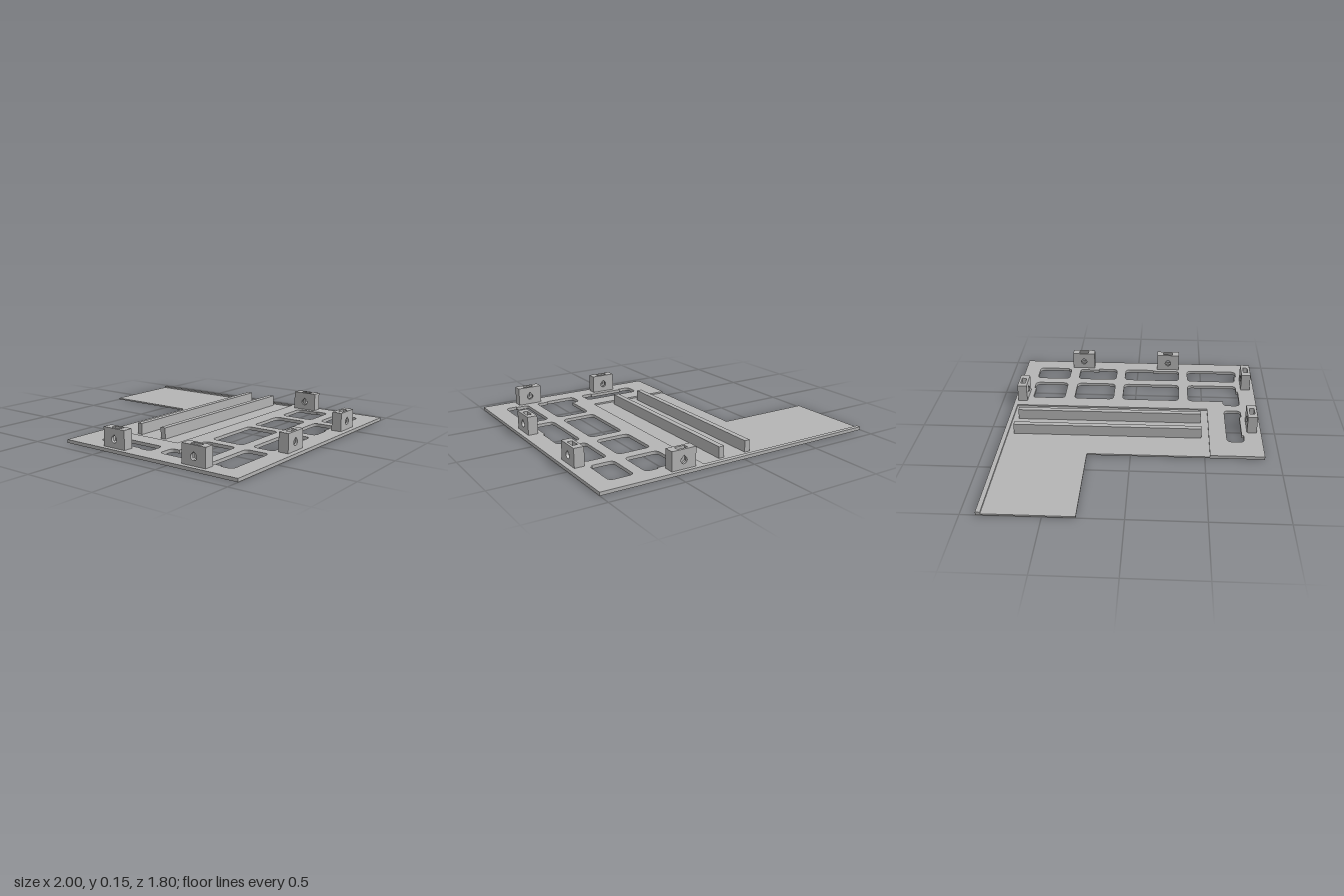
import * as THREE from 'three';

const FLOOR = 0.011, TOP = 0.022, LUG_TOP = 0.147, BORE_Y = 0.077;
const R = 0.036;

// Closed outline from [x, y, cornerRadius] points
function outline(points, PathType = THREE.Shape) {
  const path = new PathType();
  const n = points.length;
  const toward = (a, b, r) => {
    const d = Math.hypot(b[0] - a[0], b[1] - a[1]);
    return [a[0] + (b[0] - a[0]) * r / d, a[1] + (b[1] - a[1]) * r / d];
  };
  points.forEach((p, i) => {
    const r = p[2] || 0;
    const start = toward(p, points[(i + n - 1) % n], r);
    const end = toward(p, points[(i + 1) % n], r);
    if (i === 0) path.moveTo(...start); else path.lineTo(...start);
    if (r) path.quadraticCurveTo(p[0], p[1], end[0], end[1]);
  });
  path.closePath();
  return path;
}

const rect = (x0, x1, z0, z1) => [[x0, z0, R], [x1, z0, R], [x1, z1, R], [x0, z1, R]];

// Windows cut through the plate, with small steps left as footing for the lugs
const L0 = 0.401, L1 = 0.636, R0 = 0.711, R1 = 0.877, RP = 0.863, ZP = 0.765, ZE = 0.778;
const windows = [
  [[L0, -0.773, 0.022], [0.55, -0.773], [0.55, -0.786], [L1, -0.786, R], [L1, -0.535, R], [L0, -0.535, R]],
  [[R0, -0.786, R], [R1, -0.786, R], [R1, -0.556], [RP, -0.556], [RP, -0.535, 0.015], [R0, -0.535, R]],
  rect(L0, L1, -0.46, -0.166),
  [[R0, -0.46, R], [RP, -0.46, 0.02], [RP, -0.313], [R1, -0.313], [R1, -0.166, R], [R0, -0.166, R]],
  rect(L0, L1, -0.096, 0.326),
  [[R0, -0.096, R], [R1, -0.096, R], [R1, 0.12], [RP, 0.12], [RP, 0.326, 0.02], [R0, 0.326, R]],
  [[L0, 0.396, R], [L1, 0.396, R], [L1, ZP, 0.022], [0.55, ZP], [0.55, ZE], [0.342, ZE, R], [0.342, 0.658, R], [L0, 0.658]],
  [[R0, 0.396, R], [R1, 0.396, R], [R1, ZE, R], [0.796, ZE], [0.796, ZP], [R0, ZP, 0.022]],
  [[-0.15, 0.658, R], [0.267, 0.658, R], [0.267, ZE, R], [0.182, ZE], [0.182, ZP], [-0.064, ZP], [-0.064, ZE], [-0.15, ZE, R]],
];

// Horizontal slab between two heights, drawn in x and z
function slab(points, y0, y1) {
  const shape = outline(points);
  shape.holes = windows.map((w) => outline(w, THREE.Path));
  const geo = new THREE.ExtrudeGeometry(shape, { depth: y1 - y0, bevelEnabled: false, curveSegments: 6 });
  return geo.rotateX(Math.PI / 2).translate(0, y1, 0);
}

export function createModel() {
  const model = new THREE.Group();
  model.name = 'mountingPlate';
  const grey = new THREE.MeshStandardMaterial({ color: 0xb4b4b4 });
  grey.name = 'grey plastic';
  const add = (parent, geo, name) => {
    const mesh = new THREE.Mesh(geo, grey);
    mesh.name = name;
    parent.add(mesh);
    return mesh;
  };

  // L-shaped floor, and the raised border around the recess
  add(model, slab([[-1, -0.902], [1, -0.902], [1, 0.902], [-0.325, 0.902],
    [-0.325, -0.294], [-1, -0.294]], 0, FLOOR), 'basePlate');
  add(model, slab([[-1, -0.902], [1, -0.902], [1, 0.902], [-0.325, 0.902],
    [-0.325, 0.535], [0.283, 0.535], [0.283, -0.872], [-1, -0.872]], FLOOR, TOP), 'raisedBorder');

  // Two long rails standing in the recess
  for (const [x, name] of [[-0.078, 'rightRail'], [0.121, 'leftRail']]) {
    const h = 0.086 - FLOOR;
    add(model, new THREE.BoxGeometry(0.038, h, 1.312), name).position.set(x, FLOOR + h / 2, -0.174);
  }

  // Lug: two cheeks with a teardrop bore, and a core with a nut slot open at the top
  const W = 0.0855, DEPTH = 0.068, SLOT = 0.034, r = 0.022, s = 0.036;
  const cheek = outline([[-W, TOP], [W, TOP], [W, LUG_TOP], [-W, LUG_TOP]]);
  const bore = new THREE.Path();
  bore.absarc(0, BORE_Y, r, Math.PI * 0.75, Math.PI * 2.25, false);
  bore.lineTo(0, BORE_Y + r * Math.SQRT2);
  bore.closePath();
  cheek.holes.push(bore);
  const shoulder = BORE_Y - s / Math.sqrt(3), tip = BORE_Y - 2 * s / Math.sqrt(3);
  const core = outline([[-W, TOP], [W, TOP], [W, LUG_TOP], [s, LUG_TOP], [s, shoulder],
    [0, tip], [-s, shoulder], [-s, LUG_TOP], [-W, LUG_TOP]]);
  const layer = (shape, z0, z1) => new THREE.ExtrudeGeometry(shape,
    { depth: z1 - z0, bevelEnabled: false, curveSegments: 20 }).translate(0, 0, z0);
  const front = layer(cheek, SLOT / 2, DEPTH / 2);
  const back = layer(cheek, -DEPTH / 2, -SLOT / 2);
  const middle = layer(core, -SLOT / 2, SLOT / 2);

  const lugs = [
    ['backLug', 0.428, -0.842, 0], ['frontRightLug', 0.058, 0.837, 0], ['frontLeftLug', 0.674, 0.837, 0],
    ['sideBackLug', 0.931, -0.437, Math.PI / 2], ['sideFrontLug', 0.931, 0.24, Math.PI / 2],
  ];
  for (const [name, x, z, turn] of lugs) {
    const lug = new THREE.Group();
    lug.name = name;
    add(lug, front, 'frontCheek');
    add(lug, back, 'backCheek');
    add(lug, middle, 'slottedCore');
    lug.position.set(x, 0, z);
    lug.rotation.y = turn;
    model.add(lug);
  }
  return model;
}
